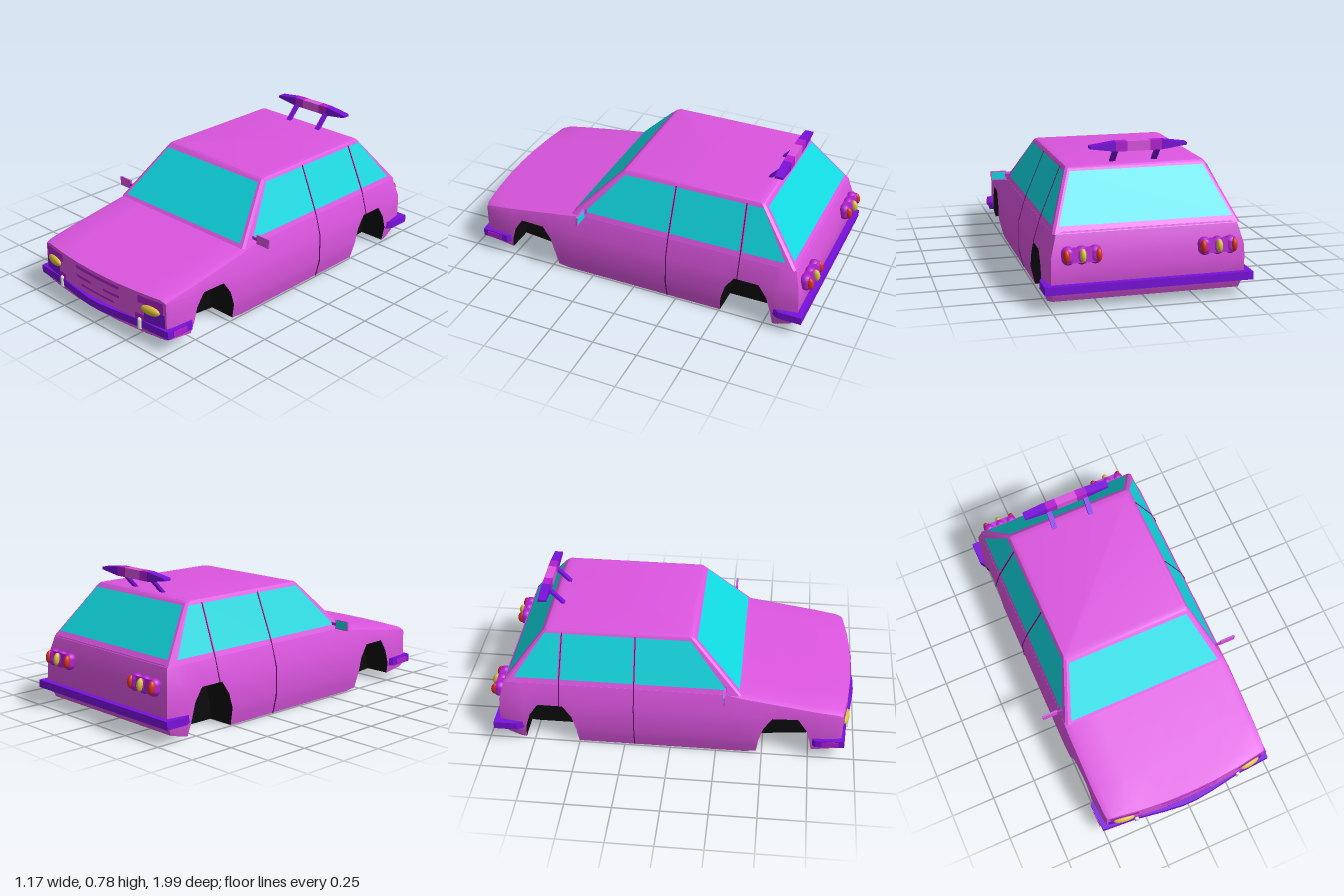
import * as THREE from 'three';
import { toCreasedNormals } from 'three/addons/utils/BufferGeometryUtils.js';

const paint = (name, color, side = THREE.FrontSide) => {
  const m = new THREE.MeshStandardMaterial({ color, side });
  m.name = name;
  return m;
};

export function createModel() {
  const car = new THREE.Group();
  car.name = 'car';
  const pink = paint('pink', 0xdc55e0), magenta = paint('magenta', 0xb41fd0, THREE.DoubleSide);
  const purple = paint('purple', 0x7a10dc), black = paint('black', 0x0b0b0b, THREE.DoubleSide);
  const glass = paint('glass', 0x10d8e0, THREE.DoubleSide), yellow = paint('yellow', 0xd8c03a);
  const red = paint('red', 0xd8301a), white = paint('white', 0xe8e8e0), seamColor = paint('seam', 0x5a1260);

  const add = (name, geo, mat, parent = car) => {
    const m = new THREE.Mesh(geo, mat);
    m.name = name;
    parent.add(m);
    return m;
  };
  // Piecewise linear lookup in a table of [key, value] with rising keys
  const lerp = (t, k) => {
    if (k <= t[0][0]) return t[0][1];
    for (let i = 1; i < t.length; i++) {
      const [a, va] = t[i - 1], [b, vb] = t[i];
      if (k <= b) return va + (vb - va) * (k - a) / (b - a);
    }
    return t[t.length - 1][1];
  };
  const build = (pos, crease = 0.6) => {
    const g = new THREE.BufferGeometry();
    g.setAttribute('position', new THREE.Float32BufferAttribute(pos, 3));
    return toCreasedNormals(g, crease);
  };
  const tri = (out, a, b, c) => {
    const area = new THREE.Triangle(...[a, b, c].map(p => new THREE.Vector3(...p))).getArea();
    if (area > 1e-8) out.push(...a, ...b, ...c);
  };
  const quad = (out, a, b, c, d) => { tri(out, a, b, c); tri(out, a, c, d); };

  // Rules for the body: sill, top line, width, wheel arches, bowed ends
  const sill = z => lerp([[-0.9, 0.03], [-0.78, 0], [0.4, 0], [0.97, 0.06]], z);
  const topLine = z => lerp([[-0.9, 0.38], [-0.8, 0.385], [0.3, 0.385], [0.38, 0.37], [0.97, 0.28]], z);
  const width = (y, z) => lerp([[0, 0.49], [0.1, 0.515], [0.26, 0.513], [0.385, 0.478]], y)
    * lerp([[-0.9, 0.965], [-0.83, 1], [0.4, 1], [0.8, 0.965], [0.97, 0.93]], z);
  const bow = x => 0.97 - 0.045 * (x / 0.47) ** 2;
  const bend = (x, y, z) => {
    if (z > 0.96) z = bow(x);
    if (z < -0.89) z -= lerp([[0.03, 0], [0.12, 0.04], [0.3, 0.03], [0.38, 0]], y);
    return [x, y, z];
  };
  const arch = [[-0.148, 0], [-0.138, 0.1], [-0.115, 0.18], [-0.068, 0.25],
    [0.068, 0.25], [0.115, 0.18], [0.138, 0.1], [0.148, 0]];
  const stations = [-0.9, -0.83, -0.2, 0.3, 0.38, 0.4, 0.9, 0.97].map(z => [z, sill(z)]);
  for (const c of [-0.652, 0.618]) for (const [dz, y] of arch) stations.push([c + dz, Math.max(y, sill(c + dz))]);
  stations.sort((a, b) => a[0] - b[0]);

  // Cross-section of the lower body, first the floor and well, then the side and top
  const sides = ([z, b]) => {
    const t = topLine(z), e = width(t, z) - 0.03;
    const ys = [b, ...[0.05, 0.11, 0.19, 0.26].map(y => Math.max(b, y)), t - 0.012];
    return [...ys.map(y => [width(y, z), y]), [e, t]];
  };
  const section = st => {
    const s = sill(st[0]), side = sides(st), [e, t] = side[side.length - 1];
    const half = [[0.34, s], [0.34, st[1]], ...side, [e * 2 / 3, t], [e / 3, t]];
    const loop = [...half, [0, t], ...half.slice().reverse().map(([x, y]) => [-x, y])];
    return loop.map(([x, y]) => bend(x, y, st[0]));
  };
  const shell = [], floor = [];
  const loops = stations.map(section);
  for (let i = 0; i + 1 < loops.length; i++) {
    const A = loops[i], B = loops[i + 1], n = A.length;
    for (let j = 0; j < n; j++) {
      const k = (j + 1) % n;
      quad(j < 2 || j >= n - 3 ? floor : shell, A[j], A[k], B[k], B[j]);
    }
  }
  // Nose and tail panels
  for (const end of [0, stations.length - 1]) {
    const rows = sides(stations[end]).map(([x, y]) =>
      [-3, -2, -1, 0, 1, 2, 3].map(u => bend(x * u / 3, y, stations[end][0])));
    for (let r = 0; r + 1 < rows.length; r++) for (let c = 0; c < 6; c++) {
      const q = [rows[r][c], rows[r][c + 1], rows[r + 1][c + 1], rows[r + 1][c]];
      quad(shell, ...(end ? q : q.reverse()));
    }
  }
  add('lowerBody', build(shell), pink);
  add('underbody', build(floor, 0.2), black);

  // Cabin: stacked rings with small chamfered corners
  const ring = (x, y, zf, zr, c) => [[x, zr + c], [x, zf - c], [x - c, zf], [c - x, zf],
    [-x, zf - c], [-x, zr + c], [c - x, zr], [x - c, zr]].map(([px, pz]) => [px, y, pz]);
  const rings = [ring(0.482, 0.37, 0.38, -0.905, 0.012), ring(0.367, 0.643, 0.117, -0.687, 0.012),
    ring(0.36, 0.652, 0.107, -0.677, 0.014), ring(0.34, 0.657, 0.085, -0.655, 0.016)];
  const cabin = [];
  for (let i = 0; i < 3; i++) for (let j = 0; j < 8; j++) {
    const k = (j + 1) % 8;
    quad(cabin, rings[i][k], rings[i][j], rings[i + 1][j], rings[i + 1][k]);
  }
  for (let j = 1; j < 7; j++) tri(cabin, rings[3][0], rings[3][j + 1], rings[3][j]);
  add('cabin', build(cabin, 0.5), pink);

  // Windows lie just above the sloping cabin faces
  const mix = (a, b, y) => a + (b - a) * (y - 0.37) / 0.273;
  const cabinX = y => mix(0.482, 0.367, y);
  const pane = (name, pts) => {
    const out = [];
    quad(out, ...pts);
    add(name, build(out), glass);
  };
  const endPane = (name, zAt, off, y0, y1) => pane(name, [[-0.445, y0], [0.445, y0], [0.348, y1], [-0.348, y1]]
    .map(([x, y]) => [x, y + 0.003, zAt(y) + off]));
  endPane('windshield', y => mix(0.38, 0.117, y), 0.003, 0.385, 0.63);
  endPane('rearWindow', y => mix(-0.905, -0.687, y), -0.003, 0.4, 0.63);
  const bar = (name, a, b, w, d, mat) => {
    const A = new THREE.Vector3(...a), B = new THREE.Vector3(...b);
    const m = add(name, new THREE.BoxGeometry(w, A.distanceTo(B), d), mat);
    m.position.copy(A).lerp(B, 0.5);
    m.quaternion.setFromUnitVectors(new THREE.Vector3(0, 1, 0), B.sub(A).normalize());
  };
  for (const s of [1, -1]) {
    const at = (y, z) => [s * (cabinX(y) + 0.003), y, z];
    for (const [name, b0, b1, t0, t1] of [['frontSideWindow', 0.3, -0.19, 0.098, -0.19],
      ['middleSideWindow', -0.202, -0.594, -0.202, -0.584], ['rearSideWindow', -0.61, -0.845, -0.598, -0.683]])
      pane(name, [at(0.4, b0), at(0.4, b1), at(0.633, t1), at(0.633, t0)]);
    // Door seams
    const seam = (pts) => {
      for (let i = 0; i + 1 < pts.length; i++) {
        const [p, q] = [pts[i], pts[i + 1]].map(([y, z]) =>
          [s * ((y > 0.375 ? cabinX(y) : width(y, z)) + 0.001), y, z]);
        bar('doorSeam', p, q, 0.005, 0.005, seamColor);
      }
    };
    seam([[0, -0.196], [0.1, -0.196], [0.26, -0.196], [0.385, -0.196], [0.637, -0.196]]);
    seam([[0.25, -0.602], [0.26, -0.602], [0.385, -0.602], [0.637, -0.59]]);

    // Door mirrors
    add('mirrorHousing', new THREE.BoxGeometry(0.088, 0.052, 0.009), pink).position.set(s * 0.539, 0.406, 0.294);
    add('mirrorGlass', new THREE.BoxGeometry(0.076, 0.042, 0.004), glass).position.set(s * 0.539, 0.406, 0.289);
    add('mirrorArm', new THREE.BoxGeometry(0.04, 0.014, 0.01), magenta).position.set(s * 0.482, 0.405, 0.294);

    // Headlights and bumper guards
    const lamp = add('headlight', new THREE.SphereGeometry(1, 24, 14), yellow);
    lamp.scale.set(0.06, 0.026, 0.018);
    lamp.position.set(s * 0.384, 0.203, 0.945);
    lamp.rotation.y = s * 0.15;
    add('bumperGuard', new THREE.CapsuleGeometry(0.012, 0.046, 6, 12), white).position.set(s * 0.312, 0.105, 0.955);

    // Rear lamp clusters
    const cluster = new THREE.Group();
    cluster.name = 'rearLamp';
    cluster.position.set(s * 0.347, 0.272, -0.945);
    cluster.rotation.x = 0.15;
    car.add(cluster);
    for (const i of [-1, 0, 1]) {
      const lobe = add('lampHousing', new THREE.CapsuleGeometry(0.033, 0.026, 6, 14), magenta, cluster);
      lobe.position.x = i * 0.068;
      const lens = add('lampLens', new THREE.SphereGeometry(1, 14, 10), i ? red : yellow, cluster);
      lens.scale.set(0.016, 0.034, 0.02);
      lens.position.set(i * 0.08, 0, i ? -0.026 : -0.034);
    }
    add('lampBase', new THREE.BoxGeometry(0.16, 0.07, 0.05), magenta, cluster);

    // Spoiler posts and bumper side trim
    bar('spoilerPost', [s * 0.11, 0.645, -0.615], [s * 0.11, 0.745, -0.71], 0.028, 0.014, purple);
    add('bumperTrim', new THREE.BoxGeometry(0.005, 0.03, 0.09), magenta).position.set(s * 0.5145, 0.105, 0.865);
  }

  // Bumpers: plan outline extruded upward
  const bumper = (name, half) => {
    const pts = [...half, ...half.slice().reverse().map(([x, z]) => [-x, z])];
    const shape = new THREE.Shape(pts.map(p => new THREE.Vector2(...p)));
    const g = new THREE.ExtrudeGeometry(shape, { depth: 0.042, bevelEnabled: false });
    g.rotateX(Math.PI / 2).translate(0, 0.126, 0);
    add(name, g, purple);
  };
  bumper('frontBumper', [[0.5, 0.77], [0.517, 0.785], [0.515, 0.83], [0.508, 0.942], [0.32, 0.955], [0.15, 0.982], [0.04, 0.995]]);
  bumper('rearBumper', [[0.51, -0.802], [0.535, -0.84], [0.535, -0.968]]);

  // Painted patches that follow the bowed nose
  const patch = (x0, x1, y0, y1, mat) => {
    const g = new THREE.PlaneGeometry(x1 - x0, y1 - y0, 8, 1).translate((x0 + x1) / 2, (y0 + y1) / 2, 0);
    const p = g.attributes.position;
    for (let i = 0; i < p.count; i++) p.setZ(i, bow(p.getX(i)) + 0.003);
    g.computeVertexNormals();
    add('nosePatch', g, mat);
  };
  for (const [x0, x1, y0, y1, mat] of [[0.34, 0.47, 0.126, 0.2, purple], [0.36, 0.46, 0.2, 0.265, magenta],
    [0.3, 0.36, 0.225, 0.265, magenta], [0.28, 0.34, 0.126, 0.16, magenta], [0.05, 0.17, 0.196, 0.21, magenta]]) {
    patch(x0, x1, y0, y1, mat);
    patch(-x1, -x0, y0, y1, mat);
  }
  patch(-0.17, 0.17, 0.246, 0.264, magenta);
  patch(-0.13, 0.13, 0.155, 0.166, magenta);

  // Spoiler wing in coloured lengths, tapered at the tips
  const wing = (x0, x1, mat) => {
    const g = new THREE.BoxGeometry(x1 - x0, 1, 0.045).translate((x0 + x1) / 2, 0, -0.713);
    const p = g.attributes.position;
    for (let i = 0; i < p.count; i++) {
      const tip = Math.max(0, Math.abs(p.getX(i)) - 0.12) / 0.13;
      p.setY(i, p.getY(i) > 0 ? 0.776 - 0.018 * tip : 0.726 + 0.018 * tip);
    }
    g.computeVertexNormals();
    add('spoilerWing', g, mat);
  };
  wing(-0.25, -0.12, purple);
  wing(-0.12, -0.06, magenta);
  wing(-0.06, 0.06, pink);
  wing(0.06, 0.12, magenta);
  wing(0.12, 0.25, purple);
  return car;
}
